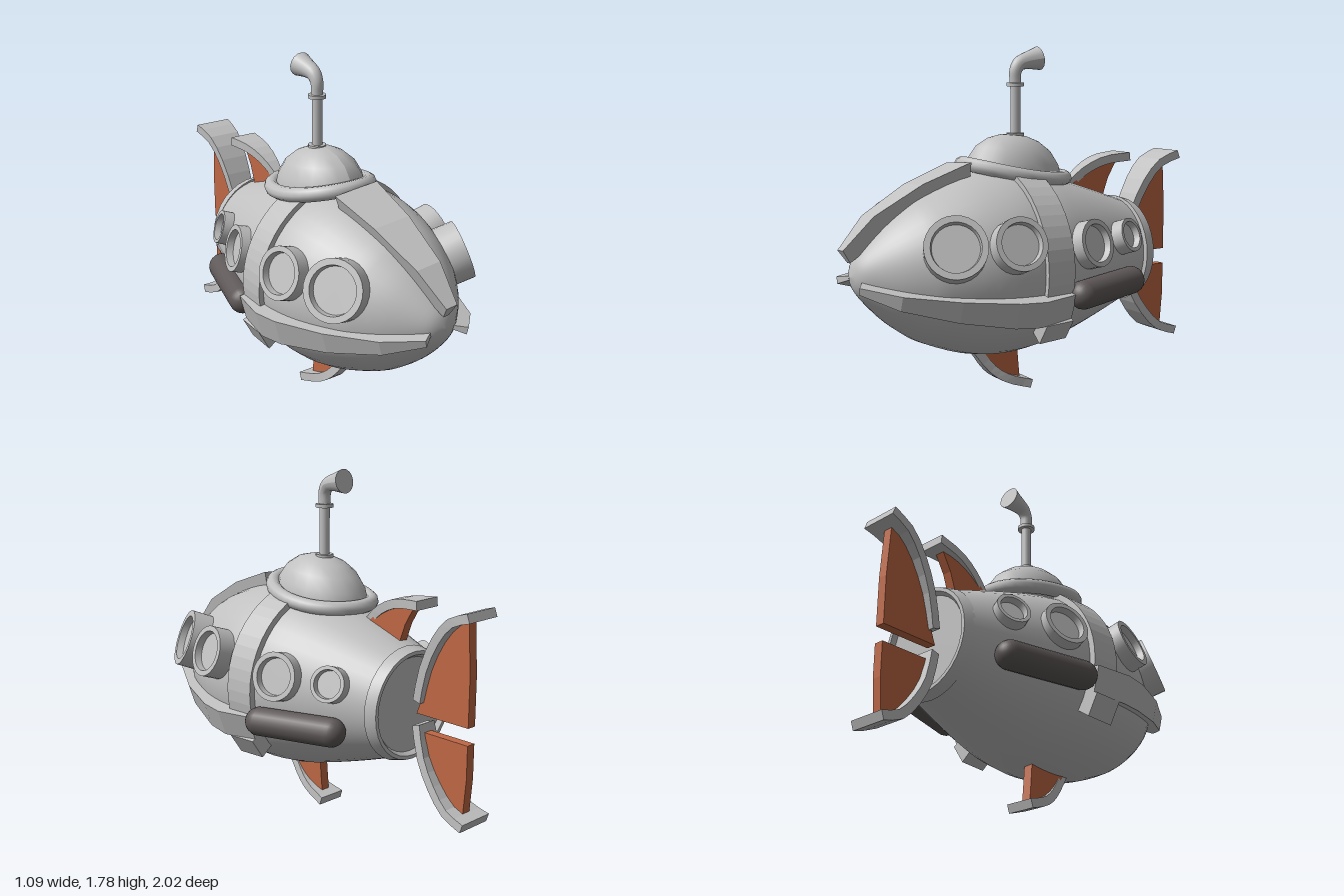
import * as THREE from 'three';
import { toCreasedNormals } from 'three/addons/utils/BufferGeometryUtils.js';

const AXIS_X = -0.01, AXIS_Y = 0.7;
const mat = (name, color) => Object.assign(new THREE.MeshStandardMaterial({ color }), { name });
const V = (x, y, z) => new THREE.Vector3(x, y, z);

// Hull radius along z, tail to nose
const HULL = [[-0.62, 0.265], [-0.45, 0.325], [-0.3, 0.375], [-0.15, 0.42], [0, 0.455], [0.2, 0.47],
  [0.4, 0.44], [0.6, 0.365], [0.7, 0.305], [0.8, 0.225], [0.9, 0.12], [0.94, 0.06], [0.955, 0]];

function hullRadius(z) {
  const i = Math.max(1, HULL.findIndex(p => p[0] >= z));
  const [a, b] = [HULL[i - 1], HULL[i]];
  return a[1] + (b[1] - a[1]) * (z - a[0]) / (b[0] - a[0]);
}

// Point on a circle about the hull axis
const polar = (deg, r, z) => {
  const a = THREE.MathUtils.degToRad(deg);
  return V(AXIS_X + r * Math.cos(a), AXIS_Y + r * Math.sin(a), z);
};

// Closed flat-shaded skin over a row of four-cornered sections
function loft(rings) {
  const tris = [];
  const quad = (a, b, c, d) => tris.push([a, b, c], [a, c, d]);
  for (let i = 0; i < rings.length - 1; i++) {
    for (let j = 0; j < 4; j++) {
      const k = (j + 1) % 4;
      quad(rings[i][j], rings[i][k], rings[i + 1][k], rings[i + 1][j]);
    }
  }
  const s = rings[0], e = rings[rings.length - 1];
  quad(s[3], s[2], s[1], s[0]);
  quad(e[0], e[1], e[2], e[3]);
  // Signed volume tells whether the skin is inside out
  const c = s[0];
  let vol = 0;
  for (const [p, q, r] of tris) vol += p.clone().sub(c).dot(q.clone().sub(c).cross(r.clone().sub(c)));
  if (vol < 0) tris.forEach(t => t.reverse());
  const g = new THREE.BufferGeometry().setFromPoints(tris.flat());
  g.computeVertexNormals();
  return g;
}

const lathe = (pts, segs) => new THREE.LatheGeometry(pts.map(p => new THREE.Vector2(p[0], p[1])), segs);

export function createModel() {
  const model = new THREE.Group();
  model.name = 'submarine';
  const grey = mat('light grey', 0xc0c0c0);
  const dark = mat('dark grey', 0x5f5858);
  const orange = mat('rust orange', 0xbf6845);
  const add = (name, geo, material = grey, parent = model) => {
    const m = new THREE.Mesh(geo, material);
    m.name = name;
    parent.add(m);
    return m;
  };

  // Hull and tail collar
  const curve = new THREE.SplineCurve(HULL.map(p => new THREE.Vector2(p[1], p[0])));
  const hullPts = curve.getPoints(36).map(p => [Math.max(0, p.x), p.y]);
  add('hull', lathe(hullPts, 40).rotateX(Math.PI / 2)).position.set(AXIS_X, AXIS_Y, 0);
  const collar = lathe([[0, -0.635], [0.235, -0.635], [0.25, -0.658], [0.268, -0.658], [0.285, -0.6], [0.25, -0.595]], 32);
  add('tailCollar', toCreasedNormals(collar, 0.5).rotateX(Math.PI / 2)).position.set(0.003, AXIS_Y, 0);

  // Raised ribs that run from the nose backwards: [z, inner radius, outer radius]
  const RIB = [[1, 0.07, 0.135], [0.85, 0.15, 0.29], [0.6, 0.33, 0.43], [0.34, 0.43, 0.525], [0.2, 0.45, 0.545], [0, 0.44, 0.51]];
  const rib = (a0, a1, rows, shift) => loft(rows.map(([z, ri, ro], i) => {
    const zo = z - shift * Math.max(0, z), zi = i === 0 ? zo - 0.04 : zo;
    return [polar(a0, ri, zi), polar(a0, ro, zo), polar(a1, ro, zo), polar(a1, ri, zi)];
  }));
  add('topRib', rib(81, 109, RIB.slice(0, 4), 0));
  add('leftRib', rib(-27, -12, RIB, 0.03));
  add('rightRib', rib(187, 202, RIB, 0.03));

  // Belt plates behind the ribs and the blocks below them
  const arc = (a0, a1, n, ri, ro) => loft(Array.from({ length: n + 1 }, (_, i) => {
    const a = a0 + (a1 - a0) * i / n;
    return [polar(a, ri, 0), polar(a, ro, 0), polar(a, ro + 0.01, 0.16), polar(a, ri, 0.16)];
  }));
  add('leftBelt', arc(-13, 68, 12, 0.42, 0.485));
  add('rightBelt', arc(112, 188, 12, 0.42, 0.485));
  add('leftBlock', arc(-40, -27, 1, 0.42, 0.53));
  add('rightBlock', arc(202, 215, 1, 0.42, 0.53));

  // Conning dome with its sagging rim
  const dome = new THREE.Group();
  dome.name = 'dome';
  model.add(dome);
  const domeGeo = lathe([[0.27, 1.06], [0.265, 1.14], [0.25, 1.2], [0.205, 1.265], [0.14, 1.31], [0.07, 1.333], [0, 1.338]], 20);
  domeGeo.scale(0.76, 1, 1);
  const dp = domeGeo.attributes.position;
  for (let i = 0; i < dp.count; i++) dp.setY(i, dp.getY(i) + 0.1 * dp.getZ(i));
  domeGeo.computeVertexNormals();
  add('domeShell', domeGeo, grey, dome).position.set(-0.04, 0, 0.025);
  const rim = Array.from({ length: 12 }, (_, i) => {
    const s = Math.sin(i * Math.PI / 6), c = Math.cos(i * Math.PI / 6);
    return V(-0.04 + 0.225 * c, 1.135 + 0.045 * s + 0.02 * s * s, 0.025 + 0.28 * s);
  });
  add('domeRim', new THREE.TubeGeometry(new THREE.CatmullRomCurve3(rim, true), 36, 0.037, 10, true), grey, dome);

  // Periscope: pipe, two flanges and a flared elbow that looks backwards
  const scope = new THREE.Group();
  scope.name = 'periscope';
  scope.position.set(-0.045, 0, 0.01);
  model.add(scope);
  add('pipe', new THREE.CylinderGeometry(0.026, 0.026, 0.3, 16), grey, scope).position.y = 1.46;
  for (const y of [1.335, 1.59]) add('flange', new THREE.CylinderGeometry(0.045, 0.045, 0.018, 16), grey, scope).position.y = y;
  const path = new THREE.CatmullRomCurve3([V(0, 1.6, 0), V(0, 1.66, -0.002), V(0, 1.695, -0.025), V(0, 1.708, -0.06), V(0, 1.722, -0.14)]);
  const elbow = new THREE.TubeGeometry(path, 20, 1, 16);
  const ep = elbow.attributes.position;
  for (let i = 0; i < ep.count; i++) {
    const t = Math.floor(i / 17) / 20, c = path.getPointAt(t);
    const p = V().fromBufferAttribute(ep, i).sub(c).multiplyScalar(0.03 + 0.031 * t * t).add(c);
    ep.setXYZ(i, p.x, p.y, p.z);
  }
  elbow.computeVertexNormals();
  add('elbow', elbow, grey, scope);
  const lens = add('lens', new THREE.CircleGeometry(0.061, 16), grey, scope);
  lens.position.set(0, 1.722, -0.14);
  lens.quaternion.setFromUnitVectors(V(0, 0, 1), path.getTangentAt(1));

  // Portholes and side pods, mirrored
  for (const side of [1, -1]) {
    const label = side > 0 ? 'left' : 'right';
    for (const [z, dy, R, h] of [[0.585, 0.145, 0.15, 0.075], [0.305, 0.15, 0.13, 0.07], [-0.14, 0.115, 0.12, 0.05], [-0.415, 0.115, 0.088, 0.055]]) {
      const r = hullRadius(z), slope = (hullRadius(z + 0.1) - hullRadius(z - 0.1)) / 0.2;
      const x = Math.sqrt(r * r - dy * dy);
      const ring = lathe([[R, -0.07], [R, h], [0.79 * R, h], [0.75 * R, h - 0.035], [0, h - 0.035]], 28);
      const port = add(label + 'Porthole', toCreasedNormals(ring, 0.5));
      port.position.set(side * x, AXIS_Y + dy, z);
      port.quaternion.setFromUnitVectors(V(0, 1, 0), V(side * x / r, dy / r, -slope).normalize());
    }
    const pod = add(label + 'Pod', new THREE.CapsuleGeometry(0.072, 0.4, 8, 18).rotateX(Math.PI / 2), dark);
    pod.position.set(side * 0.405, 0.587, -0.25);
    pod.rotation.set(0.03, side * 0.29, 0);
  }

  // Fins: a curved rim that widens backwards plus a membrane; points are [z, y]
  function fin(name, outer, base, w0, w1, inward) {
    const g = new THREE.Group();
    g.name = name;
    g.position.x = -0.045;
    model.add(g);
    const line = new THREE.SplineCurve(outer.map(p => new THREE.Vector2(p[0], p[1])));
    const n = 8, T = 0.045, rings = [], shape = [];
    for (let i = 0; i <= n; i++) {
      const t = i / n, p = line.getPoint(t), d = line.getTangent(t);
      const nx = -d.y * inward, ny = d.x * inward, w = w0 + (w1 - w0) * t;
      const [qz, qy] = [p.x + nx * T, p.y + ny * T];
      rings.push([V(-w, p.y, p.x), V(w, p.y, p.x), V(w, qy, qz), V(-w, qy, qz)]);
      if (i < n) shape.push(new THREE.Vector2(p.x + nx * T * 0.6, p.y + ny * T * 0.6));
    }
    add('finRim', loft(rings), grey, g);
    for (const [z, y] of base) shape.push(new THREE.Vector2(z, y));
    const web = new THREE.ExtrudeGeometry(new THREE.Shape(shape), { depth: 0.05, bevelEnabled: false });
    add('finWeb', web.translate(0, 0, -0.025).rotateY(-Math.PI / 2), orange, g);
  }
  fin('upperTailFin', [[-0.655, 0.73], [-0.7, 0.9], [-0.78, 1.06], [-0.88, 1.17], [-1, 1.215]],
    [[-0.955, 1.16], [-0.97, 0.9], [-0.97, 0.655], [-0.655, 0.655]], 0.055, 0.1, 1);
  fin('lowerTailFin', [[-0.655, 0.6], [-0.7, 0.44], [-0.78, 0.31], [-0.88, 0.21], [-1, 0.168]],
    [[-0.955, 0.22], [-0.97, 0.4], [-0.97, 0.57], [-0.655, 0.57]], 0.055, 0.1, -1);
  fin('dorsalFin', [[-0.27, 1.03], [-0.38, 1.135], [-0.52, 1.2], [-0.68, 1.217]],
    [[-0.635, 1.19], [-0.57, 1.08], [-0.53, 0.97], [-0.3, 1.02]], 0.01, 0.075, 1);
  fin('keelFin', [[0.3, 0.26], [0.2, 0.125], [0.1, 0.05], [-0.035, 0.005]],
    [[0, 0.04], [0.01, 0.15], [0.02, 0.27], [0.25, 0.27]], 0.015, 0.077, -1);

  return model;
}
